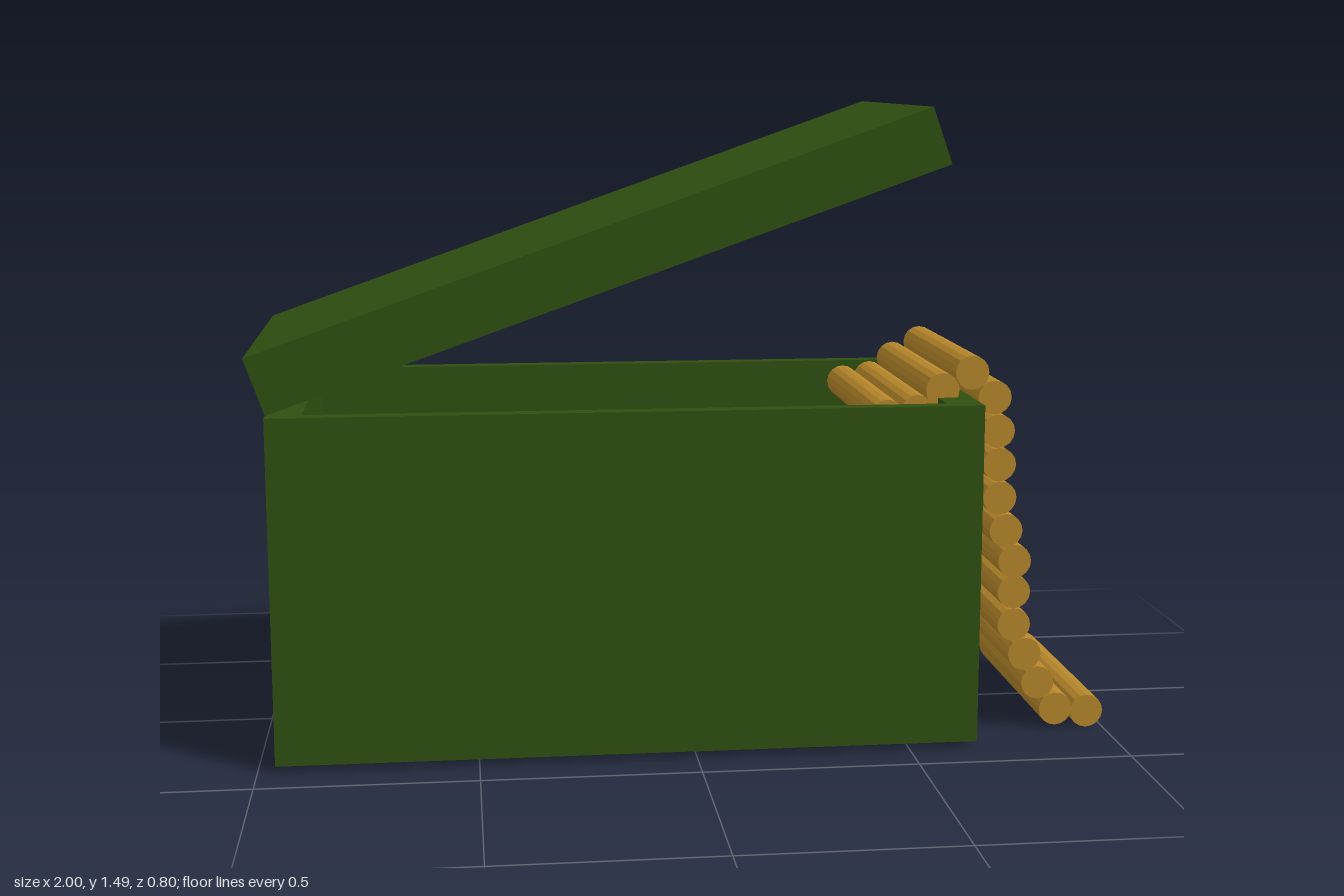
import * as THREE from 'three';

const green = new THREE.MeshStandardMaterial({ color: 0x2f4f10 });
const brass = new THREE.MeshStandardMaterial({ color: 0xb5862a, flatShading: true });

function addBox(parent, name, size, pos) {
  const mesh = new THREE.Mesh(new THREE.BoxGeometry(...size), green);
  mesh.name = name;
  mesh.position.set(...pos);
  parent.add(mesh);
  return mesh;
}

function rectangle(Type, w, d) {
  const path = new Type();
  path.moveTo(-w / 2, -d / 2);
  path.lineTo(w / 2, -d / 2);
  path.lineTo(w / 2, d / 2);
  path.lineTo(-w / 2, d / 2);
  path.closePath();
  return path;
}

export function createModel() {
  const model = new THREE.Group();
  model.name = 'ammunitionBox';

  // Box: solid lower block with a rim of walls around a shallow tray
  const width = 1.62, depth = 0.8, bottom = 0.015, floorY = 0.56, top = 0.812, cx = -0.15;
  const box = new THREE.Group();
  box.name = 'box';
  addBox(box, 'boxBase', [width, floorY - bottom, depth], [cx, (floorY + bottom) / 2, 0]);
  const rim = rectangle(THREE.Shape, width, depth);
  rim.holes.push(rectangle(THREE.Path, width * 0.9, depth * 0.9));
  const wallGeometry = new THREE.ExtrudeGeometry(rim, { depth: top - floorY, bevelEnabled: false });
  wallGeometry.rotateX(-Math.PI / 2);
  const walls = new THREE.Mesh(wallGeometry, green);
  walls.name = 'boxWalls';
  walls.position.set(cx, floorY, 0);
  box.add(walls);
  model.add(box);

  // Lid, tilted open about the end edge
  const lid = addBox(model, 'lid', [1.62, 0.135, depth], [-0.215, 1.152, 0]);
  lid.rotation.z = Math.atan2(0.54, 1.525);

  // Belt of rounds draped over the end wall, listed as x, y centres
  const centres = [
    [0.46, 0.77], [0.53, 0.78], [0.59, 0.83], [0.66, 0.87], [0.715, 0.81],
    [0.725, 0.73], [0.73, 0.65], [0.733, 0.57], [0.75, 0.49], [0.773, 0.415],
    [0.773, 0.34], [0.775, 0.26], [0.803, 0.187], [0.837, 0.115], [0.883, 0.048], [0.96, 0.04],
  ];
  const belt = new THREE.Group();
  belt.name = 'belt';
  const roundGeometry = new THREE.CylinderGeometry(0.04, 0.04, 0.56, 16);
  roundGeometry.rotateX(Math.PI / 2);
  for (const [x, y] of centres) {
    const round = new THREE.Mesh(roundGeometry, brass);
    round.name = 'beltRound';
    round.position.set(x, y, 0);
    belt.add(round);
  }
  model.add(belt);

  return model;
}
